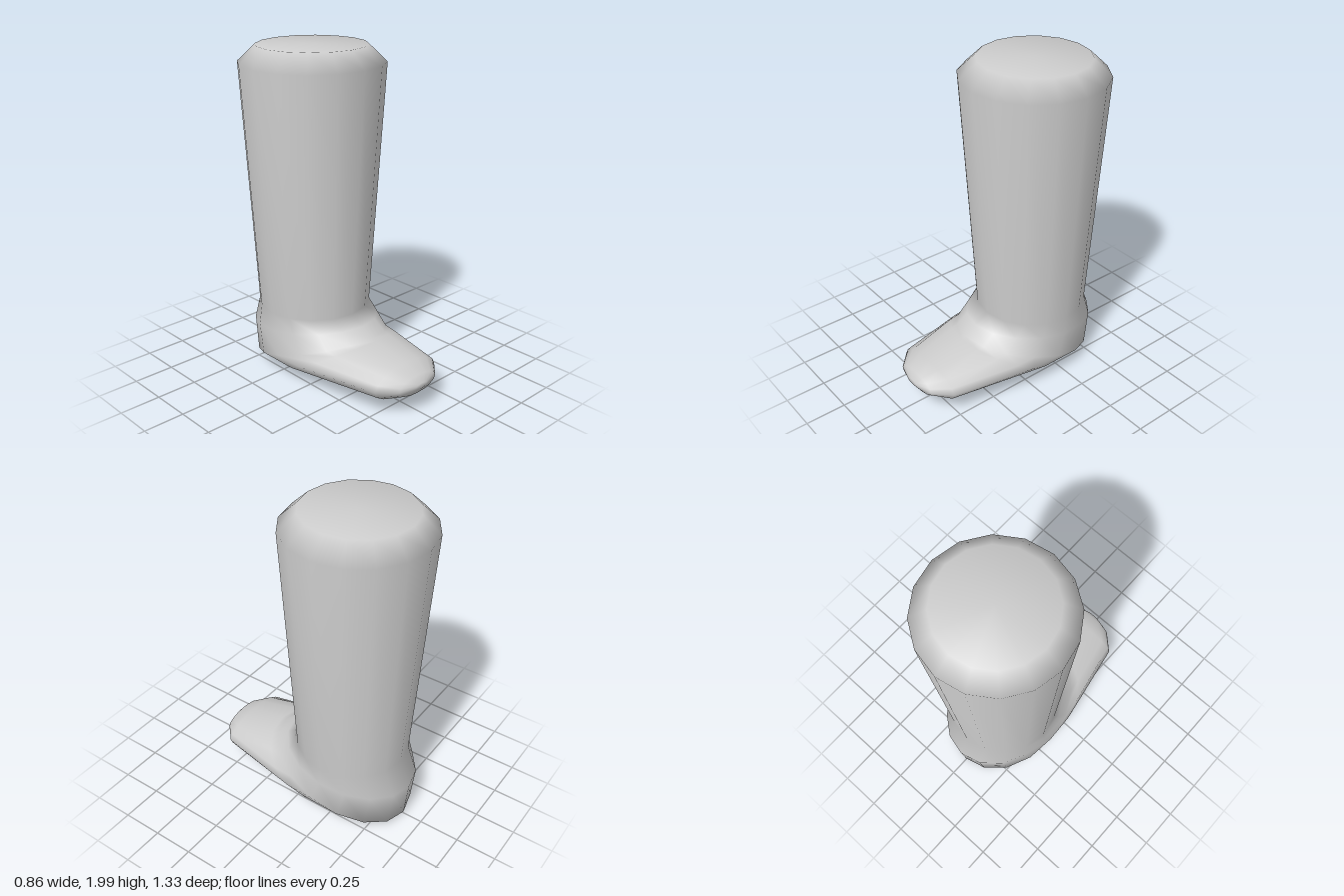
import * as THREE from 'three';

const SIDES = 16;

// Each section of the bent tube: front point (z, y), back point (z, y), half width in x.
const SECTIONS = [
  [0.085, 2.0, -0.56, 2.0, 0.325],     // top rim
  [0.19, 1.9, -0.665, 1.9, 0.43],      // widest part of the calf
  [0.10, 0.43, -0.58, 0.43, 0.34],     // ankle
  [0.19, 0.38, -0.65, 0.26, 0.345],    // back of the heel
  [0.27, 0.33, -0.625, 0.02, 0.355],   // heel edge to instep
  [0.30, 0.325, -0.28, 0.01, 0.345],   // sole
  [0.54, 0.28, 0.54, 0.085, 0.25],     // ball of the foot
  [0.635, 0.24, 0.635, 0.125, 0.15],   // rounded toe
  [0.665, 0.2, 0.665, 0.167, 0.045],   // toe tip
];

// Skin elliptical sections into one closed, smooth surface.
function skin(sections) {
  const pos = [], index = [];
  for (const [fz, fy, bz, by, w] of sections) {
    for (let i = 0; i < SIDES; i++) {
      const a = (i / SIDES) * Math.PI * 2;
      const t = (1 + Math.cos(a)) / 2;
      pos.push(w * Math.sin(a), by + (fy - by) * t, bz + (fz - bz) * t);
    }
  }
  for (let r = 0; r < sections.length - 1; r++) {
    for (let i = 0; i < SIDES; i++) {
      const j = (i + 1) % SIDES;
      const a = r * SIDES + i, b = r * SIDES + j;
      const c = a + SIDES, d = b + SIDES;
      index.push(a, c, d, a, d, b);
    }
  }
  // Caps at the top and at the toe
  const addCap = (r, flip) => {
    const [fz, fy, bz, by] = sections[r];
    const centre = pos.length / 3;
    pos.push(0, (fy + by) / 2, (fz + bz) / 2);
    for (let i = 0; i < SIDES; i++) {
      const a = r * SIDES + i, b = r * SIDES + (i + 1) % SIDES;
      if (flip) index.push(centre, b, a);
      else index.push(centre, a, b);
    }
  };
  addCap(0, false);
  addCap(sections.length - 1, true);

  const geo = new THREE.BufferGeometry();
  geo.setAttribute('position', new THREE.Float32BufferAttribute(pos, 3));
  geo.setIndex(index);
  geo.computeVertexNormals();
  return geo;
}

export function createModel() {
  const model = new THREE.Group();
  model.name = 'boot';
  const material = new THREE.MeshStandardMaterial({ color: 0xcccccc });
  const leg = new THREE.Mesh(skin(SECTIONS), material);
  leg.name = 'legAndFoot';
  model.add(leg);
  return model;
}
